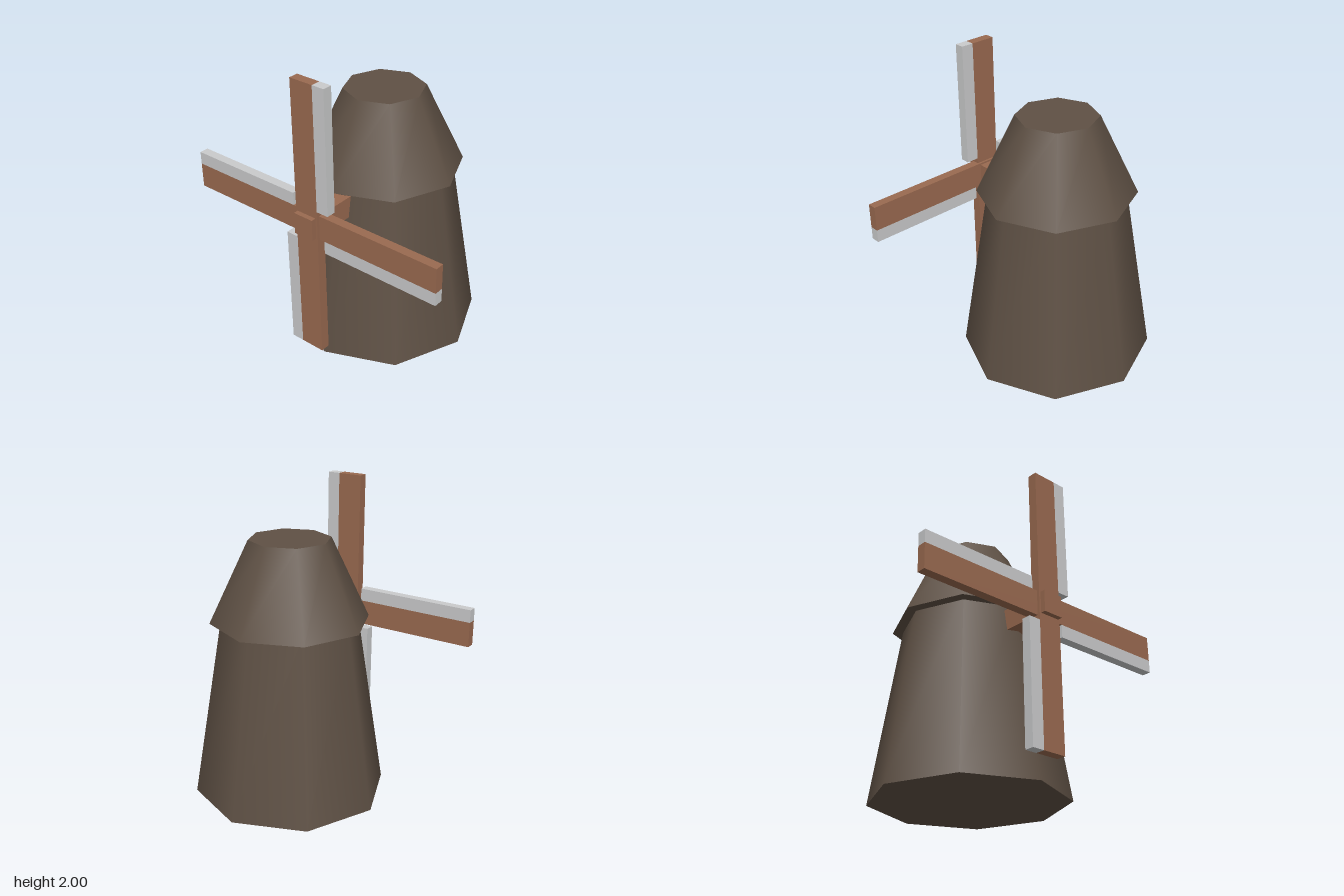
import * as THREE from 'three';

export function createModel() {
  const model = new THREE.Group();
  model.name = 'windmill';

  const material = (name, color) => {
    const m = new THREE.MeshStandardMaterial({ color });
    m.name = name;
    return m;
  };
  const stone = material('dark stone', 0x5f5145);
  const wood = material('brown wood', 0x9a6a50);
  const cloth = material('pale sailcloth', 0xcacbcc);

  const add = (name, geometry, mat, x, y, z) => {
    const mesh = new THREE.Mesh(geometry, mat);
    mesh.name = name;
    mesh.position.set(x, y, z);
    model.add(mesh);
  };

  // Box given by its limits on each axis
  const box = (name, mat, [x0, x1], [y0, y1], [z0, z1]) =>
    add(name, new THREE.BoxGeometry(x1 - x0, y1 - y0, z1 - z0), mat,
      (x0 + x1) / 2, (y0 + y1) / 2, (z0 + z1) / 2);

  // Eight-sided tower and overhanging cap, set back behind the sails
  const backZ = -0.072;
  add('tower', new THREE.CylinderGeometry(0.442, 0.635, 1.2, 8), stone, 0, 0.6, backZ);
  add('cap', new THREE.CylinderGeometry(0.263, 0.515, 0.53, 8), stone, 0, 1.44, backZ);

  // Axle from the tower wall to the hub
  box('axle', wood, [-0.071, 0.071], [0.994, 1.136], [0.3, 0.708]);

  // Crossed arms, the upright one slightly in front
  const hubY = 1.065, reach = 0.935, half = 0.083;
  const uprightZ = [0.612, 0.675], levelZ = [0.597, 0.657];
  box('uprightArm', wood, [-half, half], [hubY - reach, hubY + reach], uprightZ);
  box('levelArm', wood, [-reach, reach], [hubY - half, hubY + half], levelZ);

  // One sail along the clockwise edge of each arm
  const inner = 0.12, edge = 0.168;
  box('topSail', cloth, [half, edge], [hubY + inner, hubY + reach], uprightZ);
  box('bottomSail', cloth, [-edge, -half], [hubY - reach, hubY - inner], uprightZ);
  box('leftSail', cloth, [inner, reach], [hubY - edge, hubY - half], levelZ);
  box('rightSail', cloth, [-reach, -inner], [hubY + half, hubY + edge], levelZ);

  return model;
}
